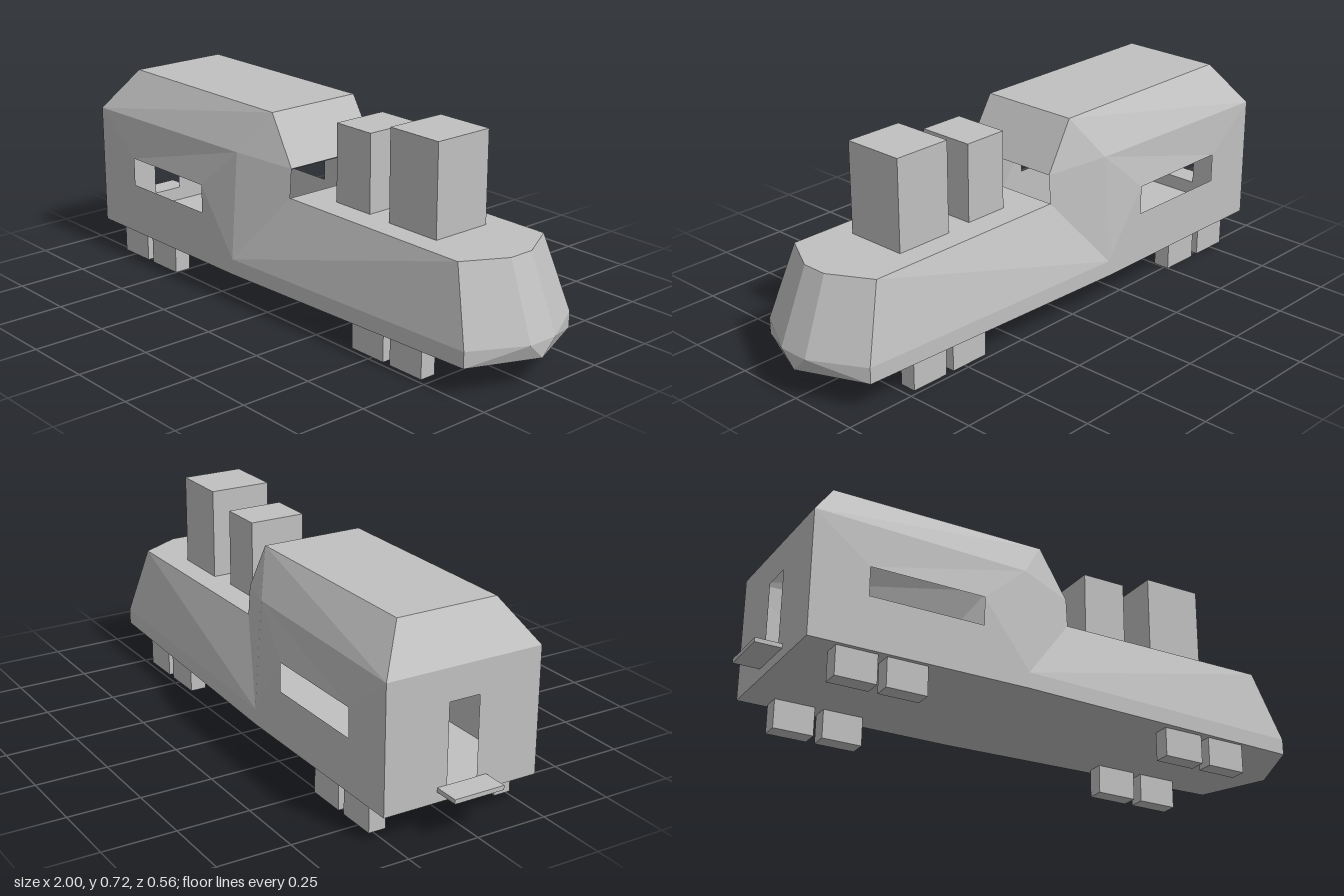
import * as THREE from 'three';

const grey = new THREE.MeshStandardMaterial({ color: 0xc0c0c0, side: THREE.DoubleSide });
grey.name = 'plain grey';

// Flat convex faces, each a list of corners counter-clockwise from outside
function panel(name, faces, mirrored = false) {
  const pos = [];
  const put = (tri) => tri.forEach((p) => pos.push(...p));
  for (const f of faces) {
    for (let i = 1; i < f.length - 1; i++) {
      put([f[0], f[i], f[i + 1]]);
      if (mirrored) put([f[0], f[i + 1], f[i]].map(([x, y, z]) => [x, y, -z]));
    }
  }
  const geo = new THREE.BufferGeometry();
  geo.setAttribute('position', new THREE.Float32BufferAttribute(pos, 3));
  geo.computeVertexNormals();
  const mesh = new THREE.Mesh(geo, grey);
  mesh.name = name;
  return mesh;
}

// Box given by its extents
function block(name, x0, x1, y0, y1, z0, z1) {
  const mesh = new THREE.Mesh(new THREE.BoxGeometry(x1 - x0, y1 - y0, z1 - z0), grey);
  mesh.position.set((x0 + x1) / 2, (y0 + y1) / 2, (z0 + z1) / 2);
  mesh.name = name;
  return mesh;
}

const flip = ([x, y, z]) => [x, y, -z];

export function createModel() {
  const model = new THREE.Group();
  model.name = 'locomotive';

  // Corners of the +z half of the hull
  const rearLow = [-0.91, 0.1, 0.28], rearEave = [-0.91, 0.53, 0.28];
  const midLow = [-0.15, 0.1, 0.28], midSill = [-0.15, 0.155, 0.28], midEave = [-0.15, 0.53, 0.253];
  const roofRear = [-0.81, 0.675, 0.18], roofFront = [-0.05, 0.675, 0.18];
  const screenLow = [0.05, 0.505, 0.183], hoodRear = [0.05, 0.405, 0.19];
  const hoodFront = [0.82, 0.405, 0.19], hoodTip = [0.9, 0.405, 0.045];
  const frontLow = [0.9, 0.1, 0.237], frontSill = [0.9, 0.155, 0.237];
  const noseSill = [1, 0.155, 0.055], noseLow = [1, 0.1, 0];
  // Side window corners
  const w1 = [-0.715, 0.38, 0.28], w2 = [-0.315, 0.38, 0.28];
  const w3 = [-0.315, 0.28, 0.28], w4 = [-0.715, 0.28, 0.28];

  // Cabin
  model.add(panel('cabinSides', [
    [rearEave, rearLow, w4, w1],
    [rearLow, midLow, midSill, w3, w4],
    [w3, midSill, w2],
    [w2, midSill, midEave],
    [w1, w2, midEave],
    [rearEave, w1, midEave],
  ], true));
  model.add(panel('cabinCheeks', [
    [midSill, hoodRear, screenLow],
    [midSill, screenLow, midEave],
  ], true));
  model.add(panel('roofSlopes', [
    [rearEave, midEave, roofFront, roofRear],
    [midEave, screenLow, roofFront],
  ], true));
  model.add(panel('roof', [
    [roofRear, roofFront, flip(roofFront), flip(roofRear)],
    [rearEave, roofRear, flip(roofRear), flip(rearEave)],
  ]));
  const lip = [0.03, 0.494, 0.183];
  model.add(panel('frontScreen', [
    [roofFront, screenLow, flip(screenLow), flip(roofFront)],
    [screenLow, lip, flip(lip), flip(screenLow)],
  ]));

  // Rear wall with a doorway and step
  const wall = new THREE.Shape([[-0.28, 0.1], [0.28, 0.1], [0.28, 0.53], [-0.28, 0.53]]
    .map(([a, b]) => new THREE.Vector2(a, b)));
  wall.holes.push(new THREE.Path([[-0.055, 0.15], [-0.055, 0.42], [0.055, 0.42], [0.055, 0.15]]
    .map(([a, b]) => new THREE.Vector2(a, b))));
  const rear = new THREE.Mesh(new THREE.ShapeGeometry(wall), grey);
  rear.rotation.y = -Math.PI / 2;
  rear.position.x = -0.91;
  rear.name = 'rearWall';
  model.add(rear, block('rearStep', -1, -0.91, 0.135, 0.15, -0.09, 0.09));

  // Hood, skirt and nose
  model.add(panel('hoodSides', [[midSill, frontSill, hoodFront, hoodRear]], true));
  model.add(panel('skirt', [
    [midLow, frontLow, frontSill, midSill],
    [frontLow, noseLow, noseSill, frontSill],
  ], true));
  model.add(panel('noseCorners', [[frontSill, noseSill, hoodTip, hoodFront]], true));
  model.add(panel('noseFront', [
    [noseSill, flip(noseSill), flip(hoodTip), hoodTip],
    [noseSill, noseLow, flip(noseSill)],
  ]));
  model.add(panel('hoodTop', [
    [hoodRear, hoodFront, hoodTip, flip(hoodTip), flip(hoodFront), flip(hoodRear)],
  ]));
  model.add(panel('floor', [
    [rearLow, flip(rearLow), flip(midLow), flip(frontLow), noseLow, frontLow, midLow],
  ]));

  // Chimneys
  model.add(block('rearChimney', 0.18, 0.34, 0.405, 0.675, -0.1, 0.1));
  model.add(block('frontChimney', 0.44, 0.65, 0.405, 0.72, -0.11, 0.11));

  // Block wheels: start, end, inner and outer distance
  const wheels = [
    [-0.81, -0.67, 0.205, 0.265], [-0.64, -0.5, 0.205, 0.265],
    [0.405, 0.55, 0.175, 0.233], [0.58, 0.72, 0.175, 0.233],
  ];
  for (const [x0, x1, a, b] of wheels) {
    model.add(block('leftWheel', x0, x1, 0, 0.1, -b, -a));
    model.add(block('rightWheel', x0, x1, 0, 0.1, a, b));
  }
  return model;
}
